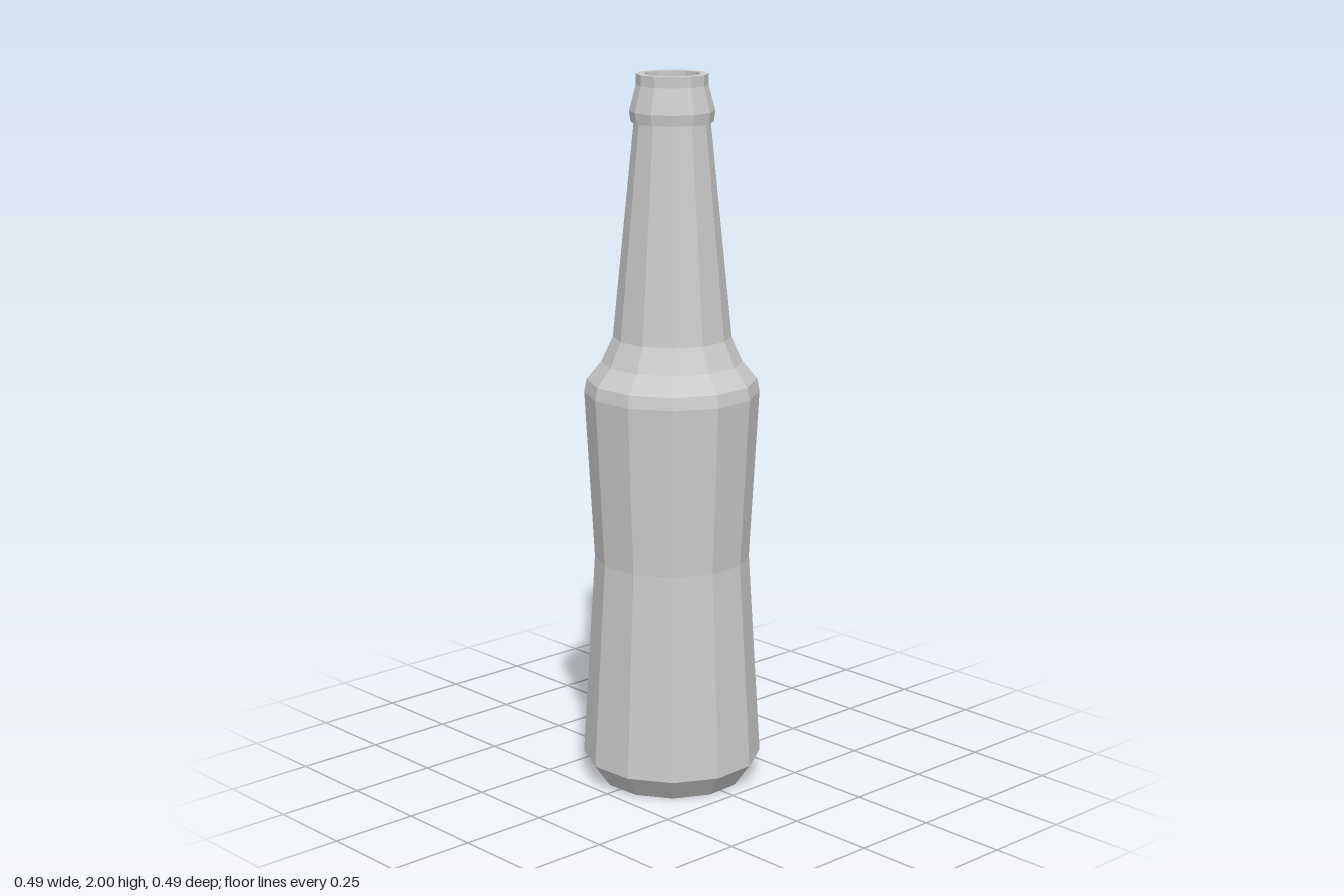
import * as THREE from 'three';

const SIDES = 12;
const TURN = THREE.MathUtils.degToRad(17.6); // facets sit slightly turned from the axes

const material = new THREE.MeshStandardMaterial({ color: 0xcccccc, flatShading: true });

// Twelve-sided turned part from [radius, height] pairs, listed bottom to top on the outside
function turned(name, profile) {
  const points = profile.map(([r, y]) => new THREE.Vector2(r, y));
  const mesh = new THREE.Mesh(new THREE.LatheGeometry(points, SIDES, TURN), material);
  mesh.name = name;
  return mesh;
}

export function createModel() {
  const bottle = new THREE.Group();
  bottle.name = 'bottle';

  // Chamfered base, waisted body and rounded shoulder
  bottle.add(turned('body', [
    [0, 0], [0.205, 0], [0.252, 0.065], [0.217, 0.65],
    [0.243, 1.125], [0.236, 1.16], [0.195, 1.21], [0.163, 1.28],
  ]));

  // Long tapering neck
  bottle.add(turned('neck', [[0.163, 1.28], [0.104, 1.87]]));

  // Collar, lip and the hollow mouth inside it
  bottle.add(turned('collarAndMouth', [
    [0.104, 1.87], [0.112, 1.87], [0.116, 1.9], [0.098, 1.97], [0.098, 2],
    [0.077, 2], [0.077, 1.85], [0, 1.85],
  ]));

  return bottle;
}
